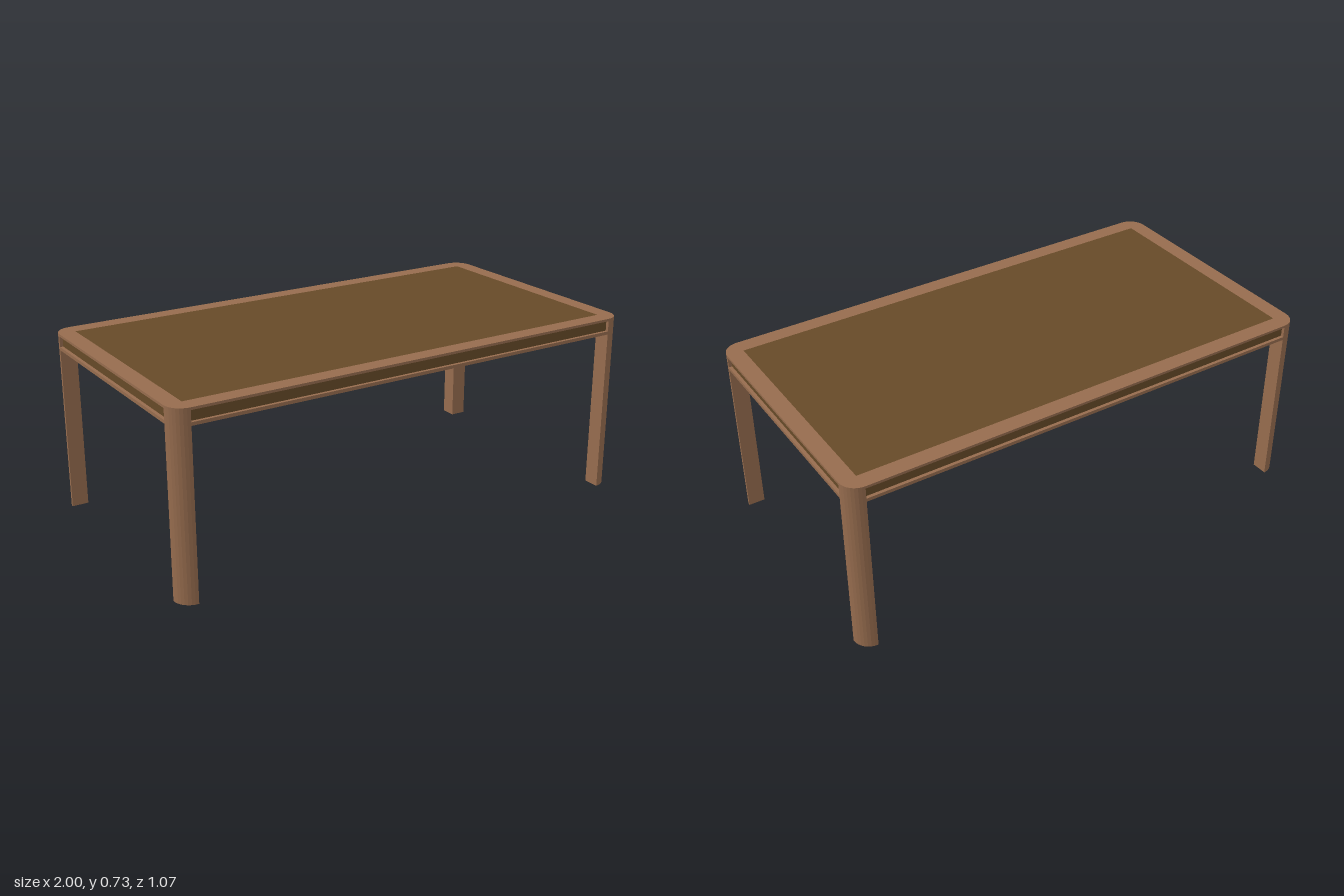
import * as THREE from 'three';

const W = 1, D = 0.533, H = 0.733;   // half width, half depth, height
const LEG = 0.067;                   // leg thickness and corner radius
const BOTTOM = 0.667, LOW = 0.68, HIGH = 0.723; // rail bottom, groove bottom, groove top
const GROOVE = 0.013;                // groove depth

const frameMat = new THREE.MeshStandardMaterial({ color: 0x966c4e, flatShading: true });
const panelMat = new THREE.MeshStandardMaterial({ color: 0x664a28, flatShading: true });

// Box given by its two opposite corners
function box(name, mat, x0, x1, y0, y1, z0, z1) {
  const mesh = new THREE.Mesh(new THREE.BoxGeometry(x1 - x0, y1 - y0, z1 - z0), mat);
  mesh.position.set((x0 + x1) / 2, (y0 + y1) / 2, (z0 + z1) / 2);
  mesh.name = name;
  return mesh;
}

// Square post whose outer corner is a quarter circle
function legGeometry() {
  const shape = new THREE.Shape();
  shape.moveTo(0, 0);
  shape.lineTo(LEG, 0);
  shape.absarc(0, 0, LEG, 0, Math.PI / 2, false);
  shape.lineTo(0, 0);
  const geo = new THREE.ExtrudeGeometry(shape, { depth: H, bevelEnabled: false, curveSegments: 4 });
  return geo.rotateX(-Math.PI / 2); // quarter now spans +x, -z
}

export function createModel() {
  const table = new THREE.Group();
  table.name = 'table';
  const ix = W - LEG, iz = D - LEG;

  // Four legs, each turned so its round corner faces outwards
  const legGeo = legGeometry();
  [[1, -1], [-1, -1], [-1, 1], [1, 1]].forEach(([sx, sz], i) => {
    const leg = new THREE.Mesh(legGeo, frameMat);
    leg.name = (sz > 0 ? 'front' : 'back') + (sx > 0 ? 'Left' : 'Right') + 'Leg';
    leg.position.set(sx * ix, 0, sz * iz);
    leg.rotation.y = i * Math.PI / 2;
    table.add(leg);
  });

  // Table top: dark inset panel over a plain underside
  table.add(box('topPanel', panelMat, -ix, ix, LOW, H, -iz, iz));
  table.add(box('underside', frameMat, -ix, ix, BOTTOM, LOW, -iz, iz));

  // Rails between the legs: two lips with a dark recessed strip
  const layers = [
    ['LowerLip', frameMat, BOTTOM, LOW, 0],
    ['GrooveStrip', panelMat, LOW, HIGH, GROOVE],
    ['UpperLip', frameMat, HIGH, H, 0],
  ];
  for (const [part, mat, y0, y1, inset] of layers) {
    table.add(box('front' + part, mat, -ix, ix, y0, y1, iz, D - inset));
    table.add(box('back' + part, mat, -ix, ix, y0, y1, -D + inset, -iz));
    table.add(box('left' + part, mat, ix, W - inset, y0, y1, -iz, iz));
    table.add(box('right' + part, mat, -W + inset, -ix, y0, y1, -iz, iz));
  }
  return table;
}
